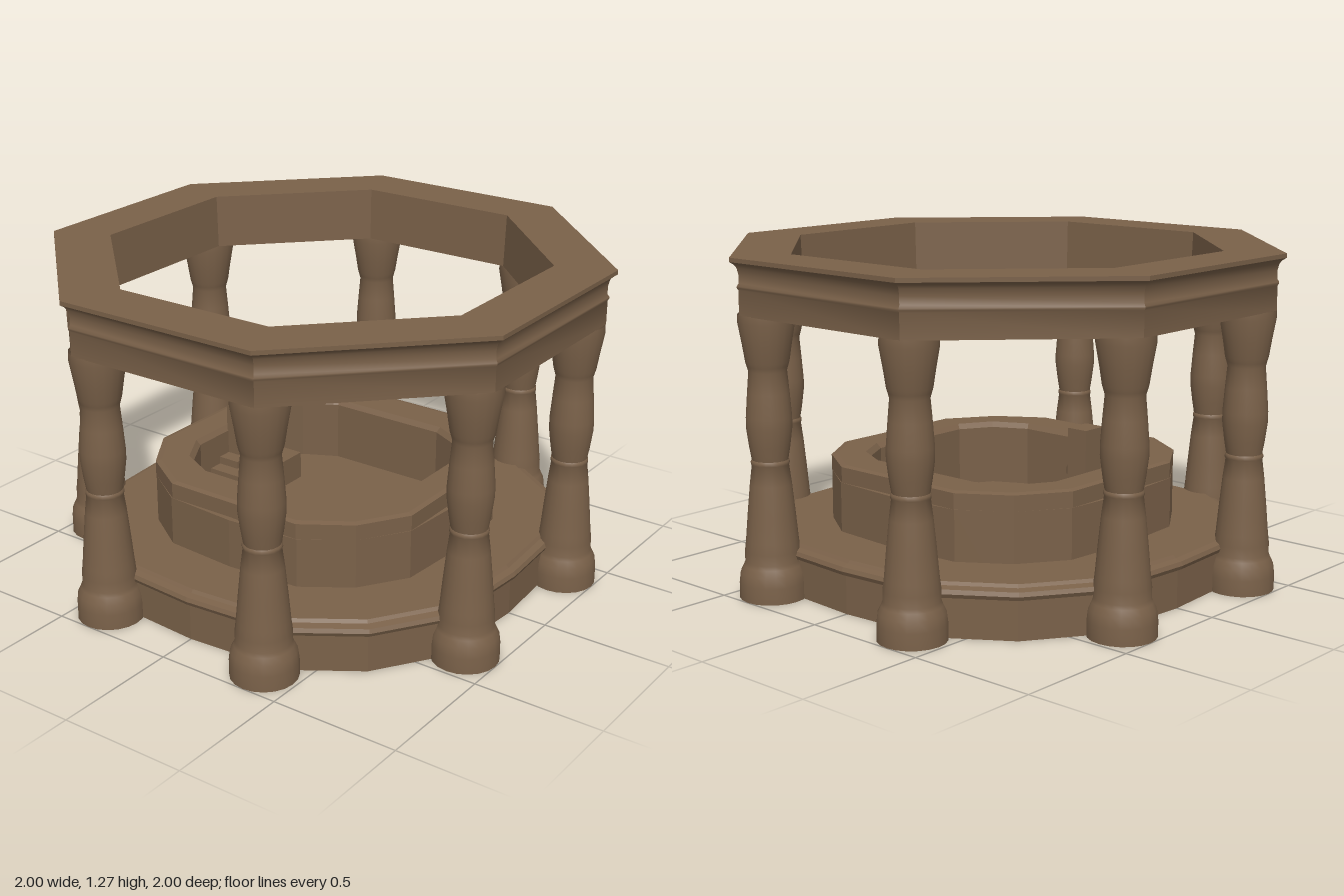
import * as THREE from 'three';
import { toCreasedNormals } from 'three/addons/utils/BufferGeometryUtils.js';

const stone = new THREE.MeshStandardMaterial({ color: 0x7a6149, side: THREE.DoubleSide });
stone.name = 'brownStone';

const points = (rows) => rows.map(([r, y]) => new THREE.Vector2(r, y));

function flat(geometry) {
  const g = geometry.toNonIndexed();
  g.computeVertexNormals();
  return g;
}

function add(parent, name, geometry, x = 0, y = 0, z = 0) {
  const mesh = new THREE.Mesh(geometry, stone);
  mesh.name = name;
  mesh.position.set(x, y, z);
  parent.add(mesh);
  return mesh;
}

// Outlines with sixteen corners: one quarter as [x, z] for half width 1, and a narrowing in x
const bowed = { quarter: [[0, 1], [0.48, 0.965], [0.77, 0.77], [0.965, 0.48]], narrow: 1 };
const straight = { quarter: [[0, 1], [0.49, 1], [0.8, 0.8], [1, 0.49]], narrow: 1 };
const inner = { quarter: [[0, 1], [0.54, 1], [0.84, 0.84], [1, 0.54]], narrow: 0.94 };

// Lofted shell; rows are [half width, height, outline]
function shell(rows) {
  const g = new THREE.LatheGeometry(points(rows), 16);
  const pos = g.attributes.position;
  for (let i = 0; i <= 16; i++) {
    const a = Math.floor(i / 4) * Math.PI / 2;
    rows.forEach(([r, y, outline = bowed], j) => {
      const [ux, uz] = outline.quarter[i % 4];
      const x = ux * Math.cos(a) + uz * Math.sin(a);
      const z = uz * Math.cos(a) - ux * Math.sin(a);
      pos.setXYZ(i * rows.length + j, x * r * outline.narrow, y, z * r);
    });
  }
  return flat(g);
}

export function createModel() {
  const model = new THREE.Group();
  model.name = 'fountainPavilion';

  // Platform with a rounded lip
  add(model, 'platform', shell([
    [0.845, 0], [0.845, 0.145], [0.86, 0.15], [0.867, 0.165], [0.86, 0.18],
    [0.835, 0.187], [0.825, 0.198], [0.61, 0.198],
  ]));

  // Basin wall in two tiers, its rim, its inside and the floor
  add(model, 'basin', shell([
    [0.612, 0], [0.612, 0.39], [0.59, 0.39, straight], [0.59, 0.45, straight],
    [0.57, 0.455, straight], [0.465, 0.455, inner], [0.45, 0.435, inner],
    [0.45, 0.2, inner], [0, 0.2, inner],
  ]));

  // Water outlet at the back of the basin
  const outlet = new THREE.Group();
  outlet.name = 'waterOutlet';
  model.add(outlet);
  const block = (name, w, y0, y1, z0, z1) =>
    add(outlet, name, new THREE.BoxGeometry(w, y1 - y0, z1 - z0), 0, (y0 + y1) / 2, (z0 + z1) / 2);
  block('outletPlinth', 0.335, 0.2, 0.31, -0.46, -0.25);
  block('outletSlab', 0.22, 0.31, 0.34, -0.46, -0.36);
  block('outletStep', 0.105, 0.31, 0.33, -0.46, -0.3);
  block('outletPost', 0.105, 0.33, 0.61, -0.455, -0.37);
  const spout = new THREE.CatmullRomCurve3([
    new THREE.Vector3(0, 0.44, -0.38), new THREE.Vector3(0, 0.46, -0.36),
    new THREE.Vector3(0, 0.45, -0.345), new THREE.Vector3(0, 0.42, -0.342),
  ]);
  add(outlet, 'spout', new THREE.TubeGeometry(spout, 10, 0.018, 8));

  // Eight turned columns
  const column = toCreasedNormals(new THREE.LatheGeometry(points([
    [0.125, 0], [0.125, 0.06], [0.12, 0.1], [0.108, 0.125], [0.102, 0.14],
    [0.102, 0.18], [0.097, 0.22], [0.088, 0.32], [0.077, 0.43], [0.068, 0.5],
    [0.071, 0.506], [0.071, 0.516], [0.067, 0.522], [0.075, 0.57], [0.084, 0.64],
    [0.084, 0.68], [0.077, 0.77], [0.07, 0.85], [0.075, 0.868], [0.08, 0.885],
    [0.09, 0.95], [0.104, 1.03], [0.103, 1.06],
  ]), 20), 0.7);
  for (let i = 0; i < 8; i++) {
    const a = (i + 0.5) * Math.PI / 4;
    add(model, 'column', column, 0.947 * Math.sin(a), 0, 0.947 * Math.cos(a));
  }

  // Octagonal beam with cornice mouldings, open underneath
  const profile = [
    [0.97, 1.058], [0.97, 1.15], [0.975, 1.158], [0.975, 1.164], [0.968, 1.175],
    [0.968, 1.205], [0.974, 1.23], [0.984, 1.243], [0.998, 1.252], [0.998, 1.268],
    [0.785, 1.268], [0.777, 1.058],
  ].map(([r, y]) => [r / Math.cos(Math.PI / 8), y]);
  const beam = toCreasedNormals(new THREE.LatheGeometry(points(profile), 8, Math.PI / 8), 0.6);
  add(model, 'octagonalBeam', beam).rotation.y = 0.008;

  return model;
}
